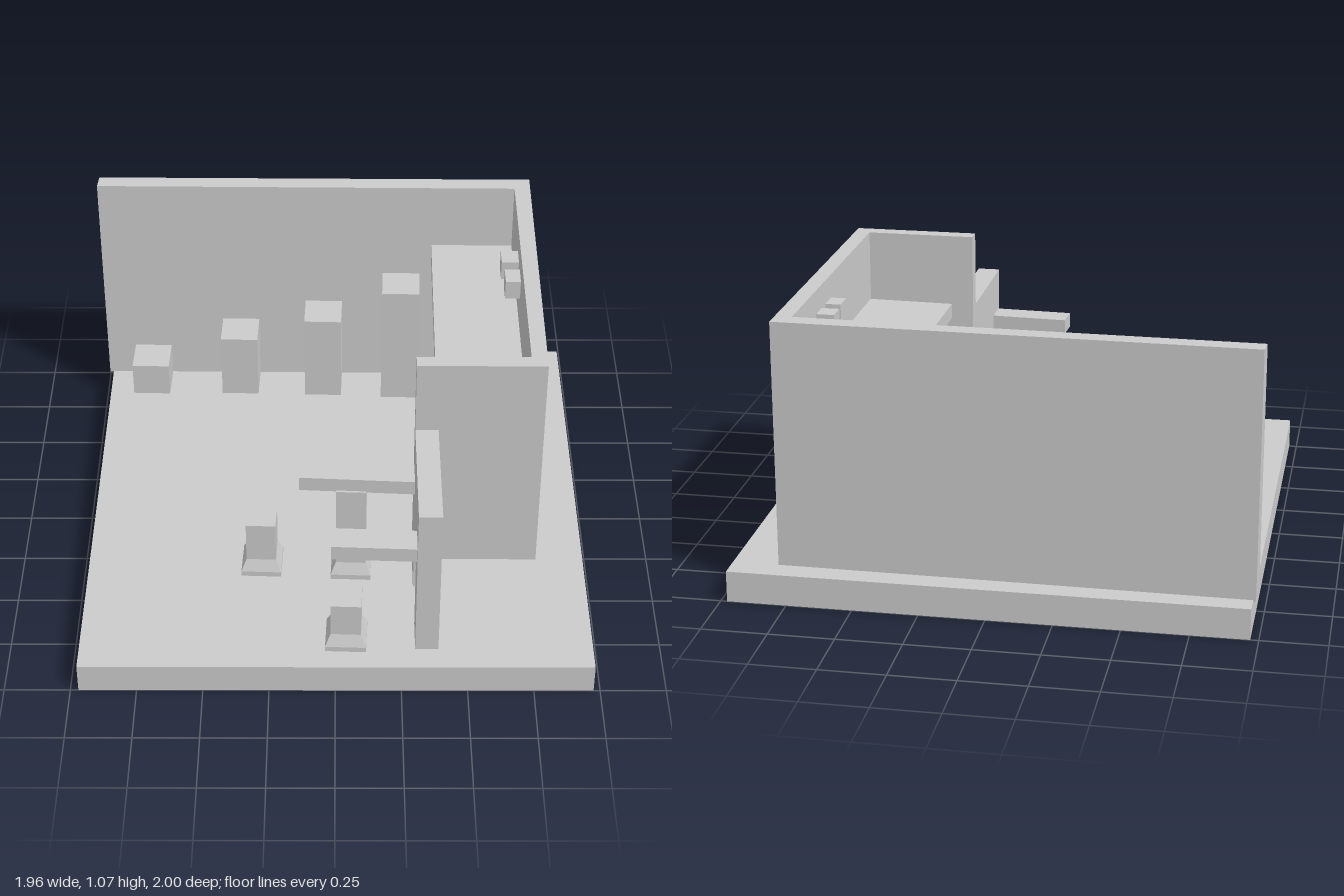
import * as THREE from 'three';

const material = new THREE.MeshStandardMaterial({ color: 0xcccccc, flatShading: true });
const FLOOR = 0.12;

export function createModel() {
  const group = new THREE.Group();

  const add = (name, geometry) => {
    const mesh = new THREE.Mesh(geometry, material);
    mesh.name = name;
    group.add(mesh);
    return mesh;
  };

  // upright prism over an [x, z] footprint, from y0 to y1
  const prism = (name, footprint, y0, y1) => {
    const shape = new THREE.Shape(footprint.map(([x, z]) => new THREE.Vector2(x, -z)));
    const geometry = new THREE.ExtrudeGeometry(shape, { depth: y1 - y0, bevelEnabled: false });
    return add(name, geometry.rotateX(-Math.PI / 2).translate(0, y0, 0));
  };

  // box given by its centre in plan, size and a slight turn
  const block = (name, x, z, w, d, y0, y1, turn = 0) => {
    const mesh = add(name, new THREE.BoxGeometry(w, y1 - y0, d));
    mesh.position.set(x, (y0 + y1) / 2, z);
    mesh.rotation.y = turn;
    return mesh;
  };

  // ground slab
  block('base', 0.003, 0, 1.945, 2, 0, FLOOR);

  // tall wall: back, side and front return in one run
  prism('tallWall', [
    [-0.98, -0.92], [0.8, -0.905], [0.79, 0.388], [0.302, 0.388],
    [0.302, 0.33], [0.73, 0.33], [0.735, -0.835], [-0.985, -0.853],
  ], FLOOR - 0.005, 1.07);

  // lower wall with a doorway, drawn in the z-y plane
  const gate = new THREE.Shape([
    [0.387, FLOOR], [0.55, FLOOR], [0.55, 0.41], [0.76, 0.41],
    [0.76, FLOOR], [0.9, FLOOR], [0.9, 0.77], [0.387, 0.77],
  ].map(([z, y]) => new THREE.Vector2(-z, y)));
  const gateGeometry = new THREE.ExtrudeGeometry(gate, { depth: 0.088, bevelEnabled: false });
  add('doorwayWall', gateGeometry.rotateY(Math.PI / 2).translate(0.302, 0, 0));

  // raised platform inside the tall wall
  prism('platform', [[0.4, -0.845], [0.735, -0.84], [0.73, 0.32], [0.386, 0.308]], 0.73, 0.79);

  // stepping blocks rising along the back wall to the platform
  [[-0.79, -0.77, 0.265], [-0.408, -0.77, 0.405], [-0.053, -0.76, 0.505], [0.273, -0.743, 0.66]]
    .forEach(([x, z, top]) => block('step', x, z, 0.155, 0.155, FLOOR, top, -0.03));

  // pegs on the inside of the side wall
  block('peg', 0.702, -0.47, 0.075, 0.08, 0.9, 0.98);
  block('peg', 0.706, -0.335, 0.066, 0.085, 0.9, 0.98);

  // beams reaching out from the doorway wall
  prism('longBeam', [[-0.13, 0.365], [0.303, 0.385], [0.303, 0.493], [-0.138, 0.467]], 0.54, 0.6);
  prism('shortBeam', [[-0.01, 0.76], [0.303, 0.775], [0.303, 0.88], [-0.016, 0.866]], 0.54, 0.6);

  // square pillars on flared feet
  const pillar = (x, z, top) => {
    const r = Math.SQRT1_2; // half width to corner radius
    const profile = [[0, FLOOR], [0.155, FLOOR], [0.155, 0.142], [0.115, 0.19], [0.115, top], [0, top]]
      .map(([w, y]) => new THREE.Vector2(w * r, y));
    const mesh = add('pillar', new THREE.LatheGeometry(profile, 4, Math.PI / 4));
    mesh.position.set(x, 0, z);
    mesh.rotation.y = -0.04;
  };
  pillar(-0.287, 0.412, 0.36);
  pillar(0.062, 0.43, 0.545);
  pillar(0.042, 0.838, 0.33);

  return group;
}
